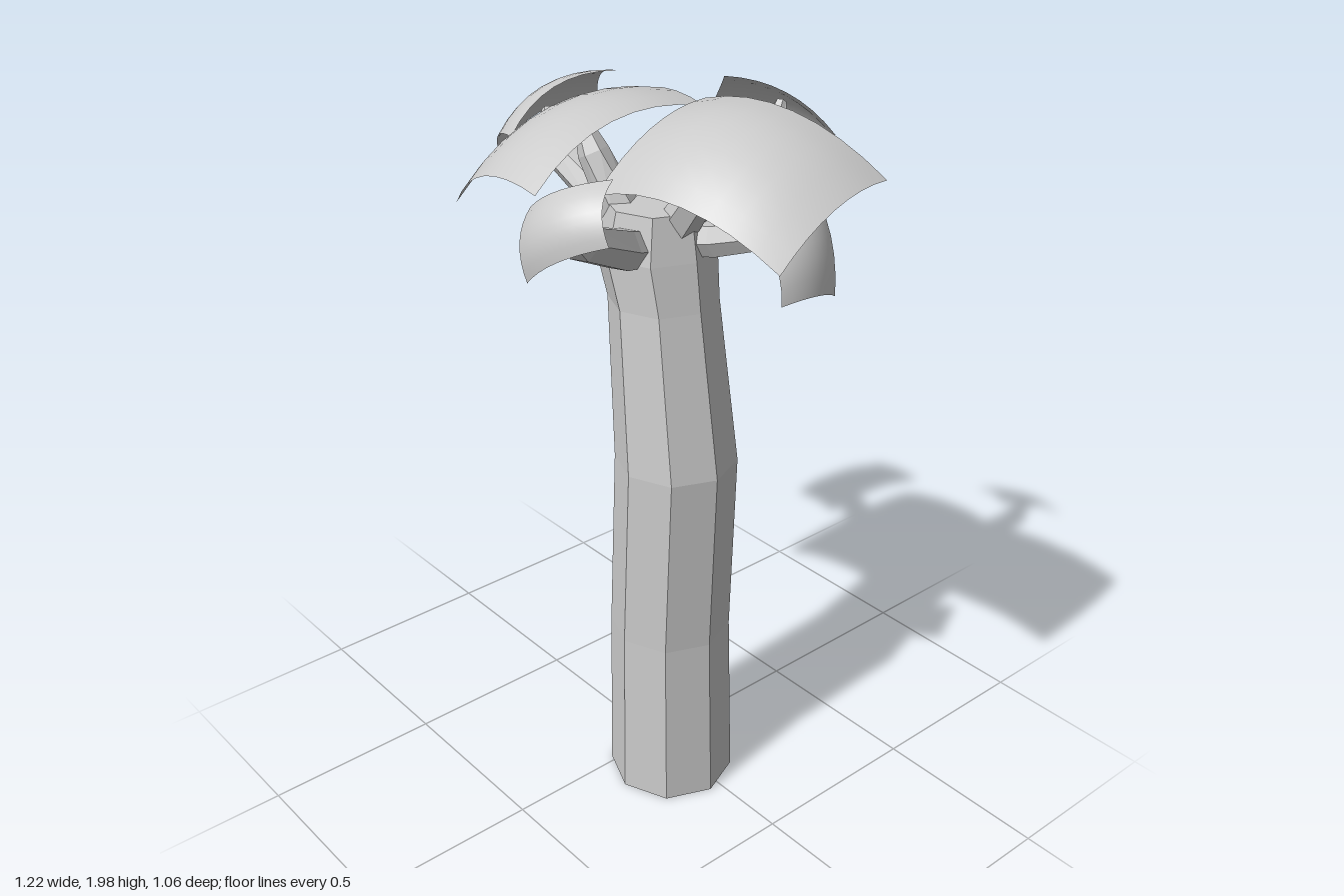
import * as THREE from 'three';

const V = (p) => new THREE.Vector3(...p);

// Faceted or smooth surface from a grid of points, rows wrapped when closed
function skin(rows, closed) {
  const pos = [], idx = [];
  const n = rows[0].length;
  rows.forEach((r) => r.forEach((p) => pos.push(p.x, p.y, p.z)));
  for (let i = 0; i < rows.length - 1; i++) {
    for (let j = 0; j < (closed ? n : n - 1); j++) {
      const k = (j + 1) % n;
      const a = i * n + j, b = i * n + k, c = a + n, d = b + n;
      idx.push(a, b, d, a, d, c);
    }
  }
  // Close both ends of a tube
  if (closed) {
    const last = (rows.length - 1) * n;
    for (let j = 1; j < n - 1; j++) {
      idx.push(0, j + 1, j, last, last + j, last + j + 1);
    }
  }
  const g = new THREE.BufferGeometry();
  g.setAttribute('position', new THREE.Float32BufferAttribute(pos, 3));
  g.setIndex(idx);
  g.computeVertexNormals();
  return g;
}

const bark = new THREE.MeshStandardMaterial({ color: 0xcccccc, flatShading: true });
const leafMat = new THREE.MeshStandardMaterial({ color: 0xcccccc, side: THREE.DoubleSide });

// Octagonal trunk: stations are [x, y, z, radius]
function trunk(stations) {
  return skin(stations.map(([x, y, z, r]) => Array.from({ length: 8 }, (_, j) => {
    const a = (-j / 8) * Math.PI * 2;
    return new THREE.Vector3(x + r * Math.cos(a), y, z + r * Math.sin(a));
  })), true);
}

// Hexagonal branch whose rings stand across its path
function branch(stations) {
  const pts = stations.map(V);
  return skin(stations.map((s, i) => {
    const dir = pts[Math.min(i + 1, pts.length - 1)].clone()
      .sub(pts[Math.max(i - 1, 0)]).normalize();
    const side = new THREE.Vector3(dir.z, 0, -dir.x).normalize();
    const up = dir.clone().cross(side);
    return Array.from({ length: 6 }, (_, j) => {
      const a = (j / 6) * Math.PI * 2;
      return pts[i].clone().addScaledVector(side, s[3] * Math.cos(a))
        .addScaledVector(up, s[3] * Math.sin(a));
    });
  }), true);
}

// Domed four-cornered leaf; corners run around the edge
function leaf(corners, bulgeU, bulgeV) {
  const [a, b, c, d] = corners.map(V);
  const normal = c.clone().sub(a).cross(d.clone().sub(b)).normalize();
  if (normal.y < 0) normal.negate();
  const N = 8, rows = [];
  for (let i = 0; i <= N; i++) {
    const row = [];
    for (let j = 0; j <= N; j++) {
      const u = j / N, v = i / N;
      const p = a.clone().lerp(b, u).lerp(d.clone().lerp(c, u), v);
      const h = bulgeU * 4 * u * (1 - u) + bulgeV * 4 * v * (1 - v);
      row.push(p.addScaledVector(normal, h));
    }
    rows.push(row);
  }
  return skin(rows, false);
}

export function createModel() {
  const model = new THREE.Group();
  const add = (name, geometry, material) => {
    const m = new THREE.Mesh(geometry, material);
    m.name = name;
    model.add(m);
  };

  // Bent trunk with a flared head
  add('trunk', trunk([
    [0.105, 0, 0.035, 0.175], [0.097, 0.5, 0.035, 0.165], [0.12, 1.03, 0.037, 0.162],
    [0.065, 1.47, 0.035, 0.142], [0.035, 1.6, 0.035, 0.155], [0.04, 1.72, 0.035, 0.13],
  ]), bark);

  // Branches: [x, y, z, radius]
  const branches = {
    rightBranch: [[0, 1.63, 0.03, 0.05], [-0.12, 1.64, 0.03, 0.055], [-0.42, 1.74, 0.01, 0.045], [-0.52, 1.8, -0.05, 0.015]],
    backBranch: [[0.04, 1.62, -0.02, 0.05], [0.03, 1.66, -0.18, 0.055], [0.05, 1.77, -0.34, 0.045], [0.0, 1.87, -0.42, 0.015]],
    frontBranch: [[0.05, 1.61, 0.08, 0.05], [0.1, 1.65, 0.2, 0.055], [0.21, 1.75, 0.4, 0.045], [0.24, 1.81, 0.47, 0.015]],
    crownBranch: [[0.0, 1.62, 0.07, 0.05], [-0.03, 1.7, 0.1, 0.05], [-0.09, 1.83, 0.13, 0.04], [-0.13, 1.92, 0.14, 0.015]],
    leftBranch: [[0.08, 1.62, 0.04, 0.05], [0.14, 1.7, 0.04, 0.05], [0.26, 1.86, 0.04, 0.04], [0.32, 1.94, 0.04, 0.015]],
    lowLeftBranch: [[0.1, 1.63, 0, 0.045], [0.2, 1.65, -0.02, 0.045], [0.38, 1.71, -0.05, 0.035], [0.46, 1.73, -0.06, 0.012]],
    leftStub: [[0.1, 1.62, -0.06, 0.03], [0.12, 1.7, -0.12, 0.025]],
    rightStub: [[-0.07, 1.66, -0.05, 0.03], [-0.13, 1.74, -0.13, 0.02]],
  };
  for (const [name, s] of Object.entries(branches)) add(name, branch(s), bark);

  // Leaves: four corners, then the bulge along each direction
  const leaves = {
    rightLeaf: [[[-0.55, 1.78, -0.25], [-0.36, 1.92, -0.165], [-0.415, 1.79, 0.145], [-0.61, 1.67, 0.05]], 0.035, 0.05],
    crownLeaf: [[[-0.32, 1.82, -0.145], [0.05, 1.93, -0.11], [0.05, 1.82, 0.41], [-0.335, 1.69, 0.375]], 0.06, 0.07],
    backLeaf: [[[-0.205, 1.8, -0.35], [-0.035, 1.96, -0.25], [0.18, 1.82, -0.44], [0.01, 1.67, -0.53]], 0.03, 0.04],
    frontLeaf: [[[0.1, 1.82, 0.46], [0.3, 1.92, 0.38], [0.37, 1.8, 0.45], [0.16, 1.67, 0.52]], 0.035, 0.03],
    leftLeaf: [[[0.05, 1.95, -0.11], [0.555, 1.85, -0.22], [0.6, 1.73, 0.16], [0.095, 1.8, 0.27]], 0.08, 0.05],
    lowLeftLeaf: [[[0.25, 1.83, -0.2], [0.47, 1.55, -0.16], [0.53, 1.61, 0.08], [0.33, 1.78, 0.07]], 0.05, 0.03],
  };
  for (const [name, args] of Object.entries(leaves)) add(name, leaf(...args), leafMat);

  return model;
}
